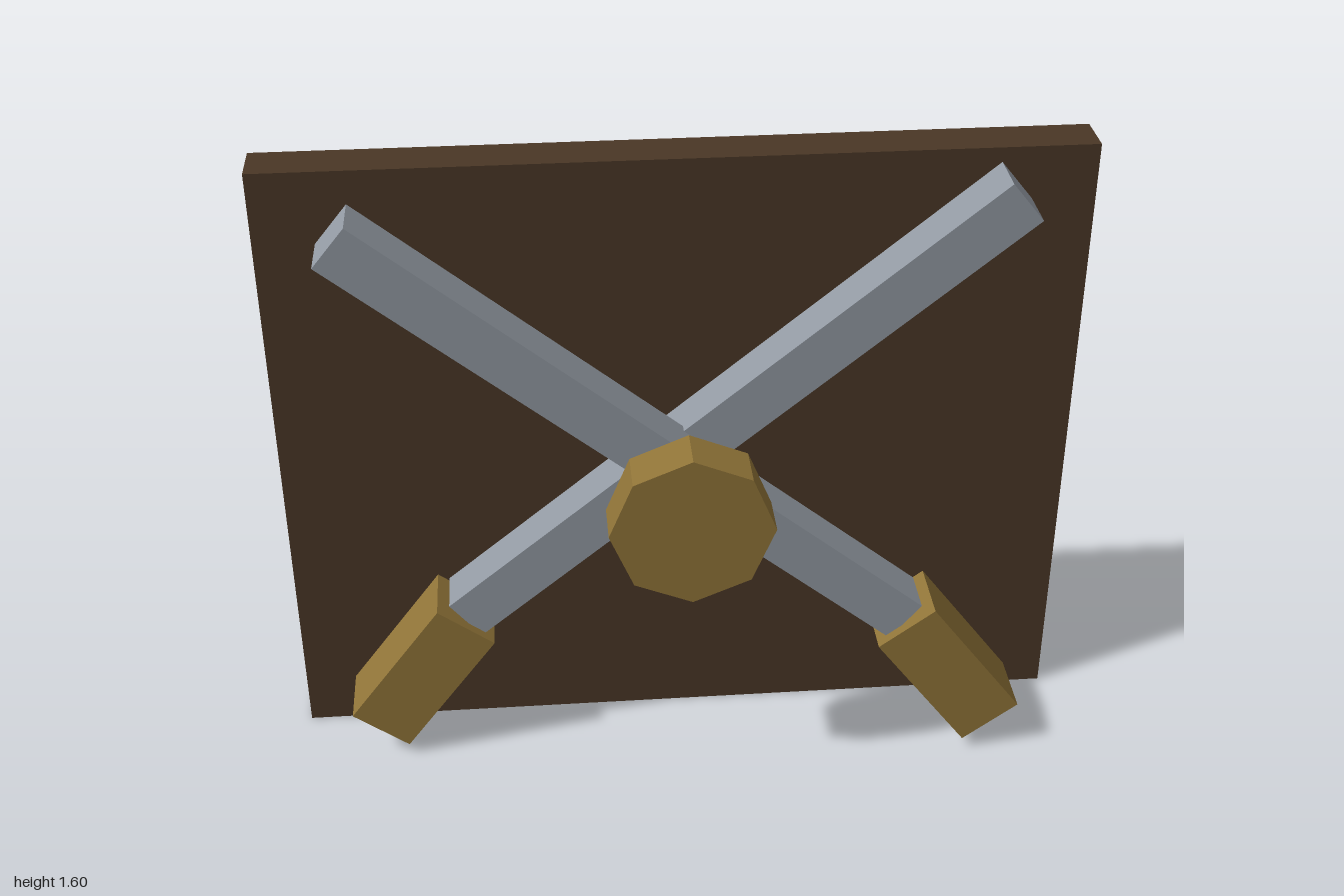
import * as THREE from 'three';

const paint = (name, color) => {
  const m = new THREE.MeshStandardMaterial({ color });
  m.name = name;
  return m;
};

export function createModel() {
  const group = new THREE.Group();
  const wood = paint('dark wood', 0x4a3726);
  const steel = paint('steel', 0x9299a2);
  const brass = paint('brass', 0x907438);

  const add = (name, geometry, material, x, y, z, angle = 0) => {
    const mesh = new THREE.Mesh(geometry, material);
    mesh.name = name;
    mesh.position.set(x, y, z);
    mesh.rotation.z = angle;
    group.add(mesh);
  };

  // Backing board
  add('backBoard', new THREE.BoxGeometry(2, 1.6, 0.12), wood, 0, 0.8, -0.2);

  // Two crossed blades with grips, the one gripped at +x lying in front
  const blade = new THREE.BoxGeometry(1.76, 0.124, 0.125);
  const grip = new THREE.BoxGeometry(0.4, 0.175, 0.178);
  for (const [side, label, z] of [[1, 'front', 0.041], [-1, 'rear', -0.06]]) {
    add(label + 'Blade', blade, steel, -0.12 * side, 0.965, z, -0.687 * side);
    add(label + 'Grip', grip, brass, 0.68 * side, 0.243, z, -0.927 * side);
  }

  // Octagonal boss in front of the crossing
  const boss = new THREE.CylinderGeometry(0.2, 0.2, 0.12, 8).toNonIndexed();
  boss.computeVertexNormals();
  boss.rotateX(Math.PI / 2);
  add('centreBoss', boss, brass, 0, 0.82, 0.2);

  return group;
}
